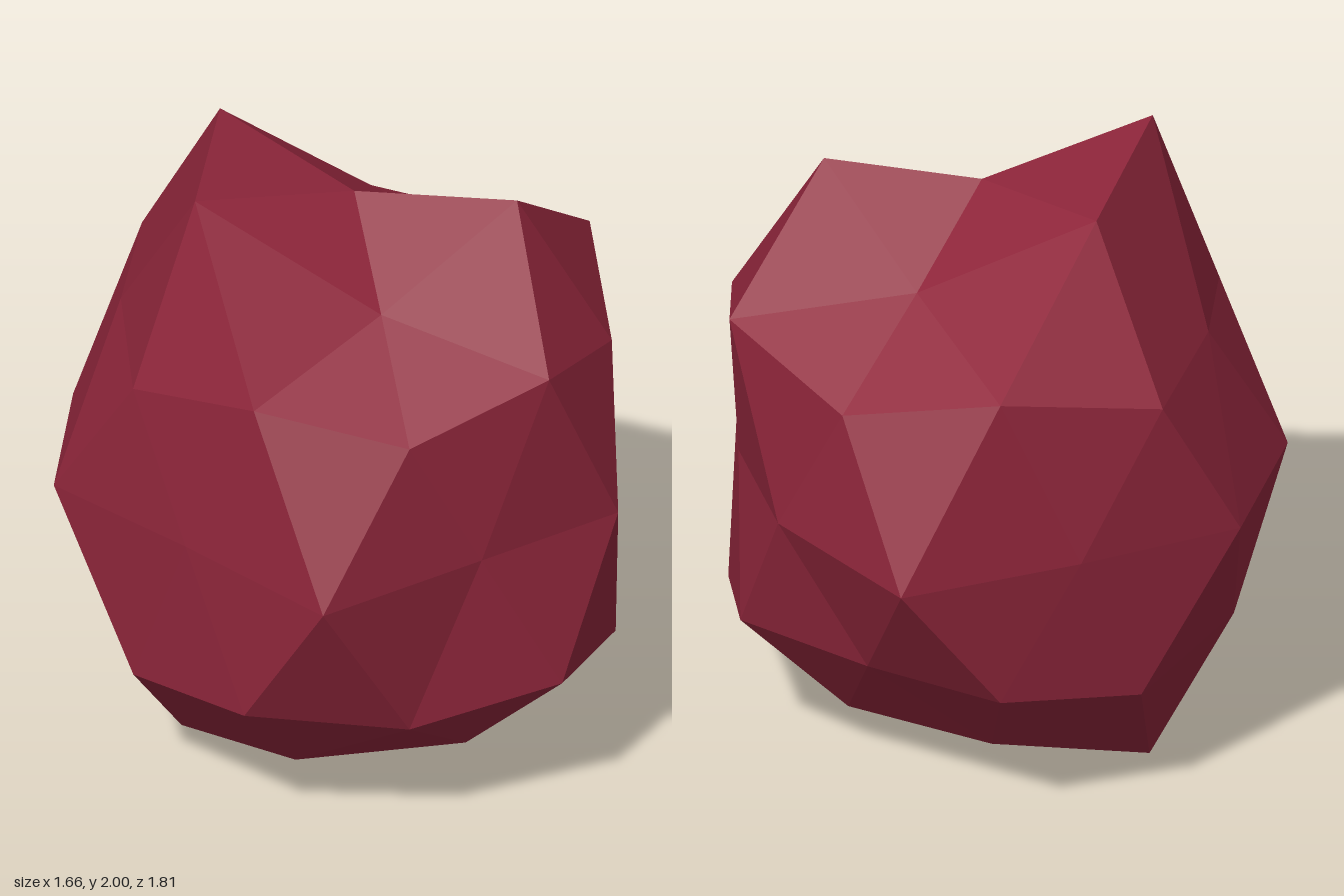
import * as THREE from 'three';

// Faceted boulder: an icosphere with a radius per vertex, squashed on each axis.
const CENTRE = new THREE.Vector3(0.03, 0.97, 0.005);
const SCALE = new THREE.Vector3(1, 1.17, 0.92);

// Radii ring by ring, from the top pole to the bottom pole
const TOP = 0.78;
const UPPER_CAP = [0.914, 0.69, 1.035, 1.0, 0.69];
const UPPER_BAND = [0.85, 0.897, 0.83, 0.875, 0.845, 0.81, 0.928, 0.91, 0.87, 0.945];
const EQUATOR = [0.845, 0.735, 0.982, 0.75, 0.905, 0.9, 0.78, 0.99, 0.786, 0.72];
const LOWER_BAND = [0.907, 0.91, 0.87, 0.912, 0.887, 0.857, 0.86, 0.865, 0.75, 0.86];
const LOWER_CAP = [0.83, 0.83, 0.97, 0.79, 0.81];
const BOTTOM = 0.82;

// Point at a given sphere height and azimuth (degrees from +x towards +z)
function point(height, degrees, radius) {
  const a = THREE.MathUtils.degToRad(degrees);
  const w = Math.sqrt(Math.max(0, 1 - height * height));
  return new THREE.Vector3(w * Math.cos(a), height, w * Math.sin(a))
    .multiplyScalar(radius).multiply(SCALE).add(CENTRE);
}

function rockGeometry() {
  const positions = [];
  const equator = EQUATOR.map((r, i) => point(0, 18 + 36 * i, r));

  // One half of the rock; sign +1 is the upper half, -1 the lower half
  function half(sign, poleRadius, capRadii, bandRadii) {
    const shift = sign > 0 ? 0 : 1; // the lower half is turned by 36 degrees
    const tri = (a, b, c) => {
      for (const p of sign > 0 ? [a, b, c] : [a, c, b]) positions.push(p.x, p.y, p.z);
    };
    const pole = point(sign, 0, poleRadius);
    const caps = capRadii.map((r, i) => point(sign * 0.8507, 72 * i + 36 * shift, r));
    const bands = bandRadii.map((r, j) =>
      point(sign * ((j + shift) % 2 ? 0.5257 : 0.4472), 36 * j, r));
    const cap = (i) => caps[i % 5];
    const band = (j) => bands[(j + 10) % 10];
    const eq = (j) => equator[(j + 10) % 10];

    for (let i = 0; i < 5; i++) {
      const j = 2 * i + shift;
      tri(pole, cap(i + 1), cap(i));
      tri(cap(i), band(j), band(j - 1));
      tri(cap(i), band(j + 1), band(j));
      tri(cap(i), cap(i + 1), band(j + 1));
    }
    for (let j = 0; j < 10; j++) {
      tri(band(j), eq(j), eq(j - 1));
      tri(band(j), band(j + 1), eq(j));
    }
  }
  half(1, TOP, UPPER_CAP, UPPER_BAND);
  half(-1, BOTTOM, LOWER_CAP, LOWER_BAND);

  const geometry = new THREE.BufferGeometry();
  geometry.setAttribute('position', new THREE.Float32BufferAttribute(positions, 3));
  geometry.computeVertexNormals(); // unshared corners give flat facets
  return geometry;
}

export function createModel() {
  const group = new THREE.Group();
  group.name = 'facetedRock';
  const material = new THREE.MeshStandardMaterial({ color: 0x8f263b });
  material.name = 'darkRed';
  const rock = new THREE.Mesh(rockGeometry(), material);
  rock.name = 'rock';
  group.add(rock);
  return group;
}
